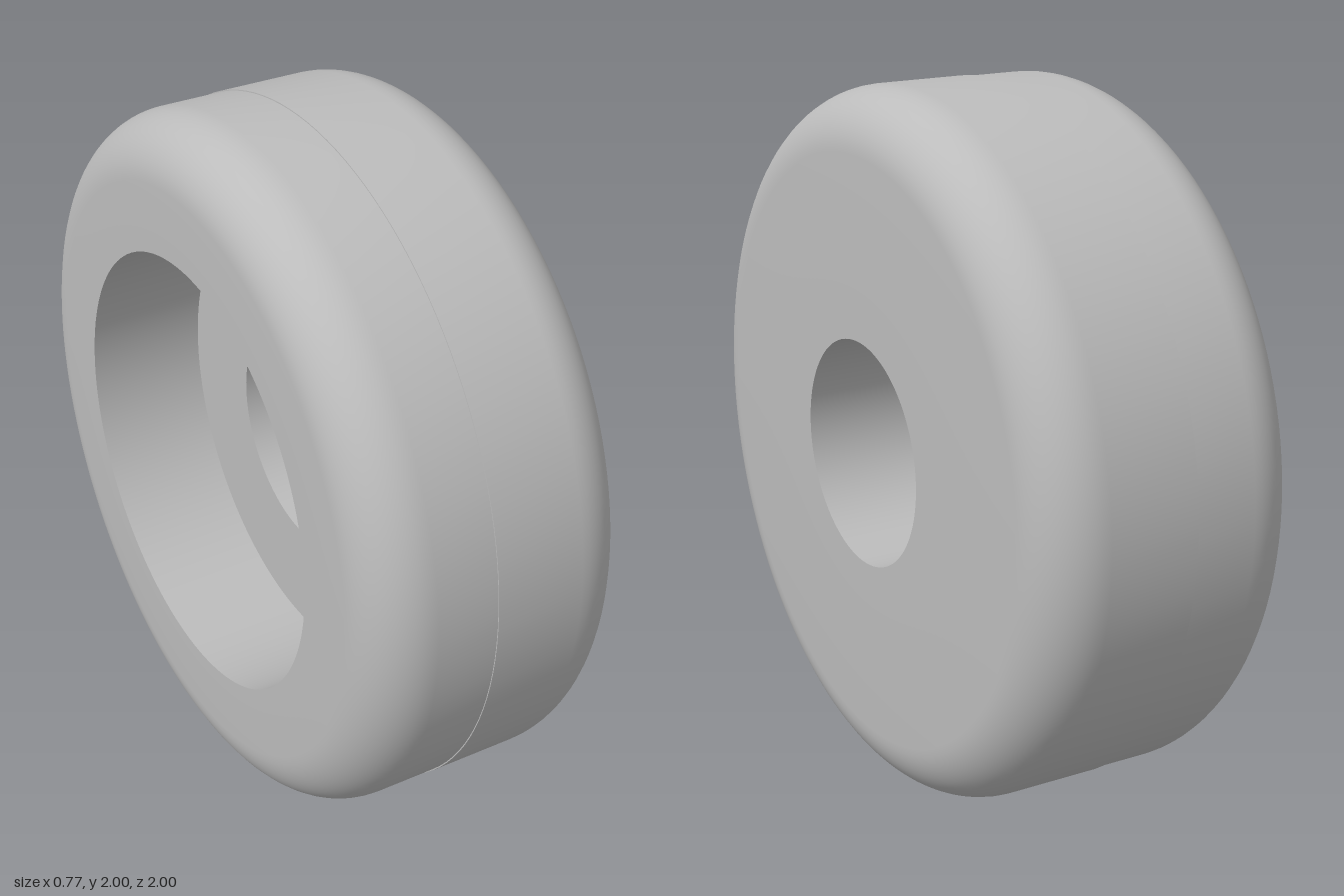
import * as THREE from 'three';
import { toCreasedNormals } from 'three/addons/utils/BufferGeometryUtils.js';

const HALF = 0.385;      // half width along x
const SEAM = -0.04;      // counterbore floor and outer parting line
const OUTER = 1, SHRUNK = 0.997;
const BORE = 0.32, COUNTERBORE = 0.63;
const FILLET = 0.17;

// Quarter-round profile points around (r, h), from angle a to angle b
function fillet(r, h, a, b, steps = 12) {
  const points = [];
  for (let i = 0; i <= steps; i++) {
    const t = a + (b - a) * i / steps;
    points.push(new THREE.Vector2(r + FILLET * Math.cos(t), h + FILLET * Math.sin(t)));
  }
  return points;
}

export function createModel() {
  const grey = new THREE.MeshStandardMaterial({ color: 0xbcbcbc });
  grey.name = 'grey';

  // Closed section: rounded tread, flat face, bore, counterbore floor and wall
  const profile = [
    new THREE.Vector2(COUNTERBORE, -HALF),
    ...fillet(SHRUNK - FILLET, -HALF + FILLET, -Math.PI / 2, 0),
    new THREE.Vector2(SHRUNK, SEAM),
    new THREE.Vector2(OUTER, SEAM),
    ...fillet(OUTER - FILLET, HALF - FILLET, 0, Math.PI / 2),
    new THREE.Vector2(BORE, HALF),
    new THREE.Vector2(BORE, SEAM),
    new THREE.Vector2(COUNTERBORE, SEAM),
    new THREE.Vector2(COUNTERBORE, -HALF),
  ];
  const geometry = toCreasedNormals(new THREE.LatheGeometry(profile, 128), 0.5);
  geometry.rotateZ(-Math.PI / 2); // axle along x

  const wheel = new THREE.Mesh(geometry, grey);
  wheel.name = 'wheel';
  wheel.position.y = OUTER;

  const model = new THREE.Group();
  model.name = 'roller';
  model.add(wheel);
  return model;
}
